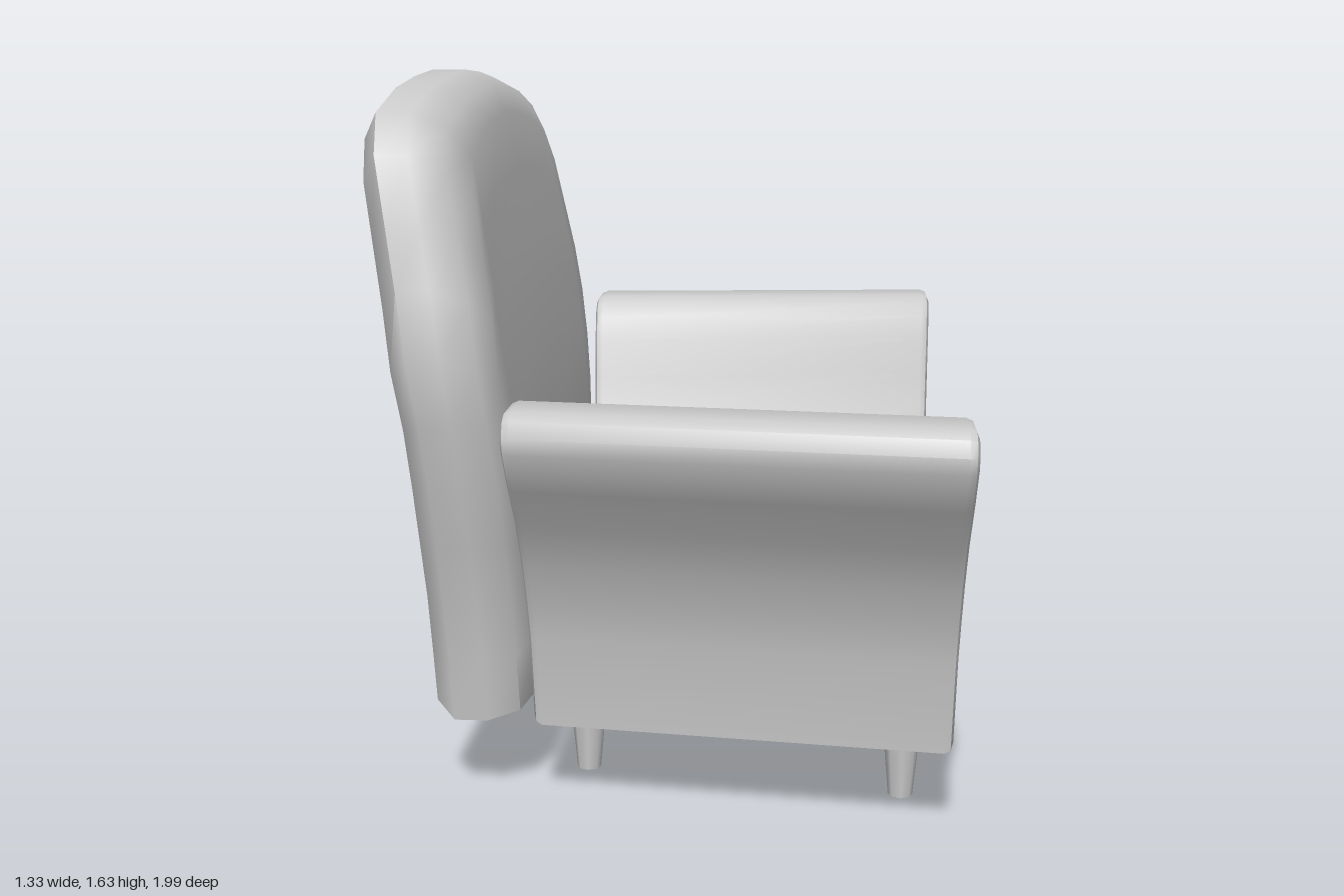
import * as THREE from 'three';
import { mergeVertices, toCreasedNormals } from 'three/addons/utils/BufferGeometryUtils.js';

const material = new THREE.MeshStandardMaterial({ color: 0xcccccc });

// Piecewise linear lookup in a list of [key, value] pairs
function lookup(table, k) {
  if (k <= table[0][0]) return table[0][1];
  for (let i = 1; i < table.length; i++) {
    const [k0, v0] = table[i - 1], [k1, v1] = table[i];
    if (k <= k1) return v0 + (v1 - v0) * (k - k0) / (k1 - k0);
  }
  return table[table.length - 1][1];
}

// Smooth normals that stay sharp at hard edges
function finish(geometry, crease) {
  geometry.deleteAttribute('normal');
  geometry.deleteAttribute('uv');
  return toCreasedNormals(mergeVertices(geometry, 1e-4), crease);
}

// Box whose grid vertices (i, j, k along x, y, z) are placed by a rule
function mouldedBox(nx, ny, nz, rule) {
  const g = new THREE.BoxGeometry(nx, ny, nz, nx, ny, nz);
  const p = g.attributes.position;
  for (let n = 0; n < p.count; n++) {
    const i = Math.round(p.getX(n) + nx / 2);
    const j = Math.round(p.getY(n) + ny / 2);
    const k = Math.round(p.getZ(n) + nz / 2);
    p.setXYZ(n, ...rule(i, j, k));
  }
  return finish(g, 0.95);
}

function addMesh(group, name, geometry) {
  const mesh = new THREE.Mesh(geometry, material);
  mesh.name = name;
  group.add(mesh);
  return mesh;
}

// Leaning backrest with an arched top and padded edges
function backrestGeometry() {
  const rear = [[0.2, -0.52], [0.5, -0.53], [0.85, -0.545], [1.1, -0.58], [1.58, -0.665]];
  const front = [[0.2, -0.295], [0.4, -0.302], [0.8, -0.32], [1.12, -0.36], [1.53, -0.435]];
  const halfWidth = [[0.2, 0.63], [0.45, 0.66], [0.75, 0.73], [1.03, 0.785], [1.47, 0.69]];
  const top = [[0, 1.63], [0.28, 1.62], [0.565, 1.6], [0.87, 1.555], [1, 1.47]];
  const across = [-1, -0.87, -0.565, -0.28, 0, 0.28, 0.565, 0.87, 1];
  const inset = [0.06, 0, 0, 0.035, 0.1];
  const rows = 9;
  return mouldedBox(4, rows, 8, (i, j, k) => {
    const u = across[k], v = j / rows, d = inset[i];
    const w = lookup(halfWidth, 0.2 + 1.27 * v);
    const low = 0.2 + d * 0.4, high = lookup(top, Math.abs(u)) - d;
    const y = low + v * (high - low);
    const r = lookup(rear, y), f = lookup(front, y);
    const x = [r, r + 0.05, f - 0.1, f - 0.03, f][i];
    return [x, y, u * (w - d)];
  });
}

// Seat cushion: wider at the front, domed top, soft upper edges
function seatGeometry() {
  const heights = [0.2, 0.42, 0.5, 0.56, 0.6];
  const inset = [0.015, 0, 0.012, 0.05, 0.13];
  const n = 8;
  return mouldedBox(n, 4, n, (i, j, k) => {
    const s = i / n, u = (k / n) * 2 - 1, d = inset[j];
    const corner = (i === 0 || i === n) && (k === 0 || k === n) ? 0.025 : 0;
    const dir = i === 0 ? 1 : -1;
    const x = -0.3 + d + s * (0.965 - 2 * d) + dir * corner;
    const half = 0.51 + 0.115 * (x + 0.3) - d * 0.9 - corner * 0.4;
    const dome = j === 4 ? 0.04 * (1 - u * u) * (1 - 0.4 * (2 * s - 1) ** 4) : 0;
    return [x, heights[j] + dome, u * half];
  });
}

// Flared armrest: an extruded section that splays outward towards the front
function armGeometry(side) {
  const section = [
    [0.595, 0.2], [0.618, 0.43], [0.65, 0.55], [0.69, 0.65], [0.726, 0.75], [0.755, 0.85],
    [0.782, 0.91], [0.805, 0.945], [0.84, 0.963], [0.95, 0.963], [0.98, 0.948], [0.998, 0.915],
    [0.995, 0.88], [0.94, 0.79], [0.868, 0.69], [0.817, 0.59], [0.785, 0.5], [0.76, 0.41], [0.743, 0.2],
  ];
  const shape = new THREE.Shape(section.map(([z, y]) => new THREE.Vector2(-side * z, y)));
  const bevel = 0.02, length = 0.965;
  const g = new THREE.ExtrudeGeometry(shape, {
    depth: length - 2 * bevel, bevelThickness: bevel, bevelSize: bevel, bevelOffset: -bevel, bevelSegments: 2,
  });
  g.rotateY(Math.PI / 2);
  const p = g.attributes.position;
  for (let n = 0; n < p.count; n++) {
    const s = (p.getX(n) + bevel) / length, y = p.getY(n);
    const slim = 0.022 * (0.96 - y) / 0.76;
    p.setX(n, -0.31 + slim + s * (length - 1.7 * slim));
    p.setZ(n, p.getZ(n) - side * 0.1 * (1 - s));
  }
  return finish(g, 0.7);
}

export function createModel() {
  const chair = new THREE.Group();
  chair.name = 'armchair';
  addMesh(chair, 'backrest', backrestGeometry());
  addMesh(chair, 'seatCushion', seatGeometry());

  // Tapered leg, standing on the ground
  const leg = new THREE.CylinderGeometry(0.047, 0.028, 0.21, 8);
  leg.translate(0, 0.105, 0);

  for (const [side, label] of [[1, 'left'], [-1, 'right']]) {
    addMesh(chair, label + 'Armrest', armGeometry(side));
    addMesh(chair, label + 'FrontLeg', leg).position.set(0.54, 0, side * 0.505);
    addMesh(chair, label + 'BackLeg', leg).position.set(-0.195, 0, side * 0.4);
  }
  return chair;
}
